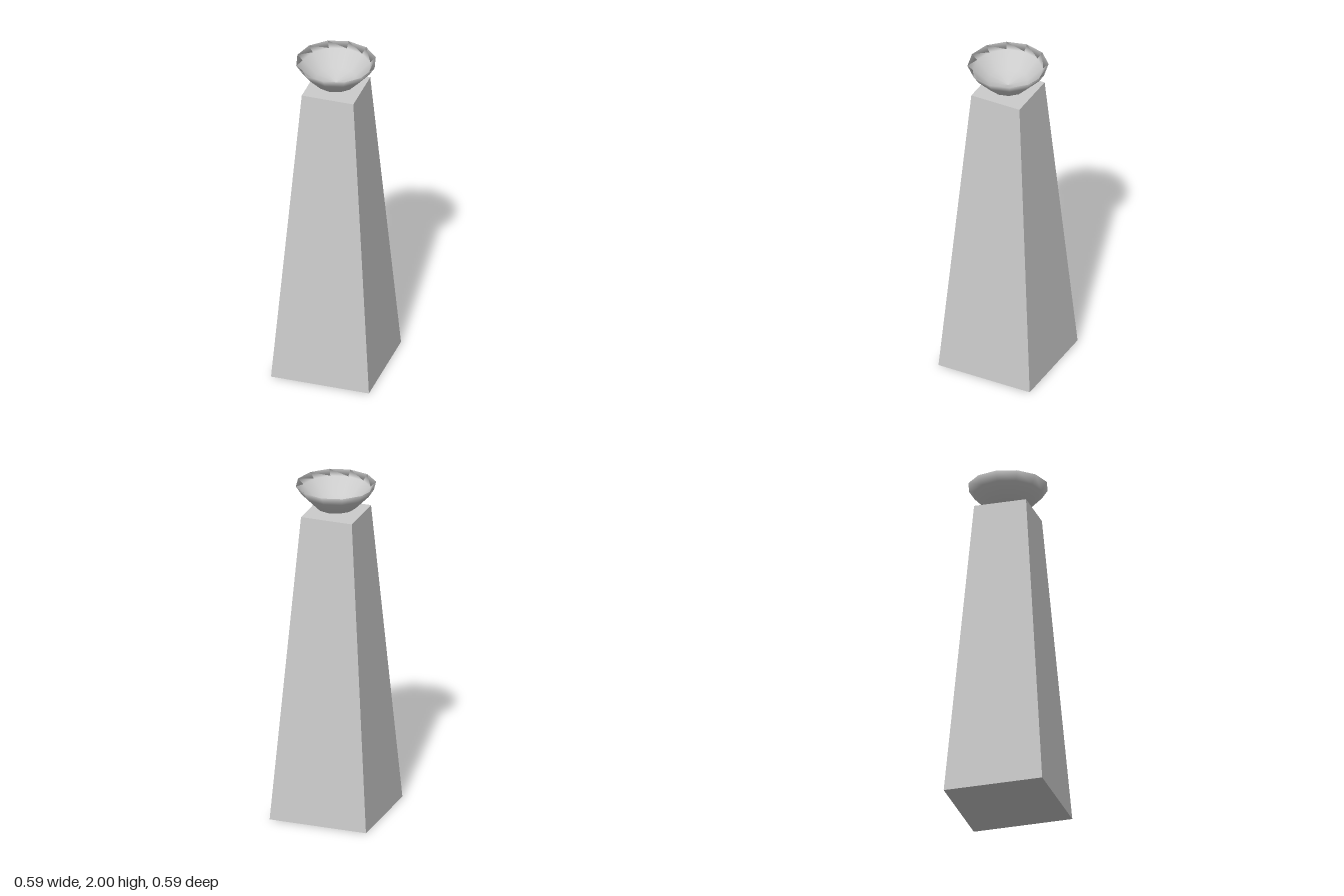
import * as THREE from 'three';

const material = () => new THREE.MeshStandardMaterial({ color: 0xcccccc });

export function createModel() {
  const model = new THREE.Group();
  model.name = 'pedestalWithBowl';

  // Tapered square pillar
  const height = 1.833, topHalf = 0.155, baseHalf = 0.294;
  const pillarGeometry = new THREE.CylinderGeometry(
    topHalf * Math.SQRT2, baseHalf * Math.SQRT2, height, 4);
  pillarGeometry.rotateY(Math.PI / 4);
  const pillarMaterial = material();
  pillarMaterial.flatShading = true;
  const pillar = new THREE.Mesh(pillarGeometry, pillarMaterial);
  pillar.name = 'pillar';
  pillar.position.y = height / 2;
  model.add(pillar);

  // Twelve-sided bowl: outer wall up to the rim, then the inner wall back down
  const profile = [
    [0, 1.834], [0.116, 1.864], [0.2, 1.95], [0.232, 2],
    [0.2, 1.97], [0.115, 1.89], [0, 1.86],
  ].map(([r, y]) => new THREE.Vector2(r, y));
  const bowl = new THREE.Mesh(new THREE.LatheGeometry(profile, 12), material());
  bowl.name = 'bowl';
  model.add(bowl);

  return model;
}
